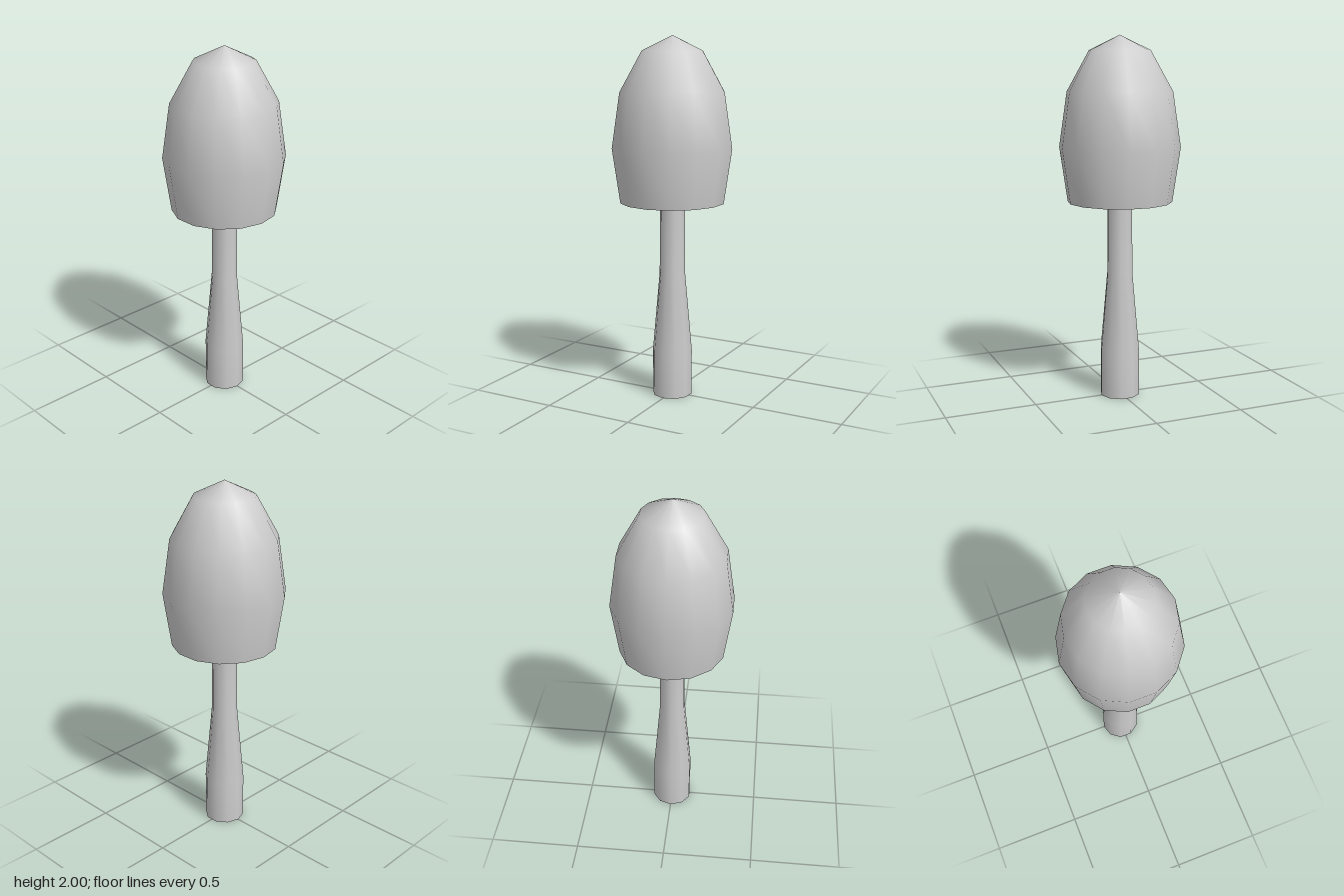
import * as THREE from 'three';

const material = new THREE.MeshStandardMaterial({ color: 0xcccccc, side: THREE.DoubleSide });

// Revolve a list of [radius, height] pairs, listed from bottom to top
function lathe(name, profile, sides) {
  const points = profile.map(([r, y]) => new THREE.Vector2(r, y));
  const mesh = new THREE.Mesh(new THREE.LatheGeometry(points, sides), material);
  mesh.name = name;
  return mesh;
}

// Flat polygon closing one end of the stem, its corners matching the lathe
function endDisc(name, radius, y, sides, facing) {
  const disc = new THREE.CircleGeometry(radius, sides, Math.PI / 2);
  disc.rotateX(facing * -Math.PI / 2);
  if (facing > 0) disc.rotateY(Math.PI);
  disc.translate(0, y, 0);
  const mesh = new THREE.Mesh(disc, material);
  mesh.name = name;
  return mesh;
}

export function createModel() {
  const group = new THREE.Group();
  group.name = 'mushroom';

  // Stem: straight foot, tapering to a slim neck
  const stemSides = 10;
  const stem = new THREE.Group();
  stem.name = 'stem';
  stem.add(
    lathe('stemWall', [[0.111, 0], [0.111, 0.26], [0.072, 0.7], [0.069, 1.1]], stemSides),
    endDisc('stemBase', 0.111, 0, stemSides, -1),
    endDisc('stemTop', 0.069, 1.1, stemSides, 1),
  );

  // Cap: hollow bell, open underneath
  const cap = lathe('cap', [[0.288, 1.1], [0.332, 1.4], [0.288, 1.7], [0.166, 1.92], [0, 2]], 14);

  group.add(stem, cap);
  return group;
}
